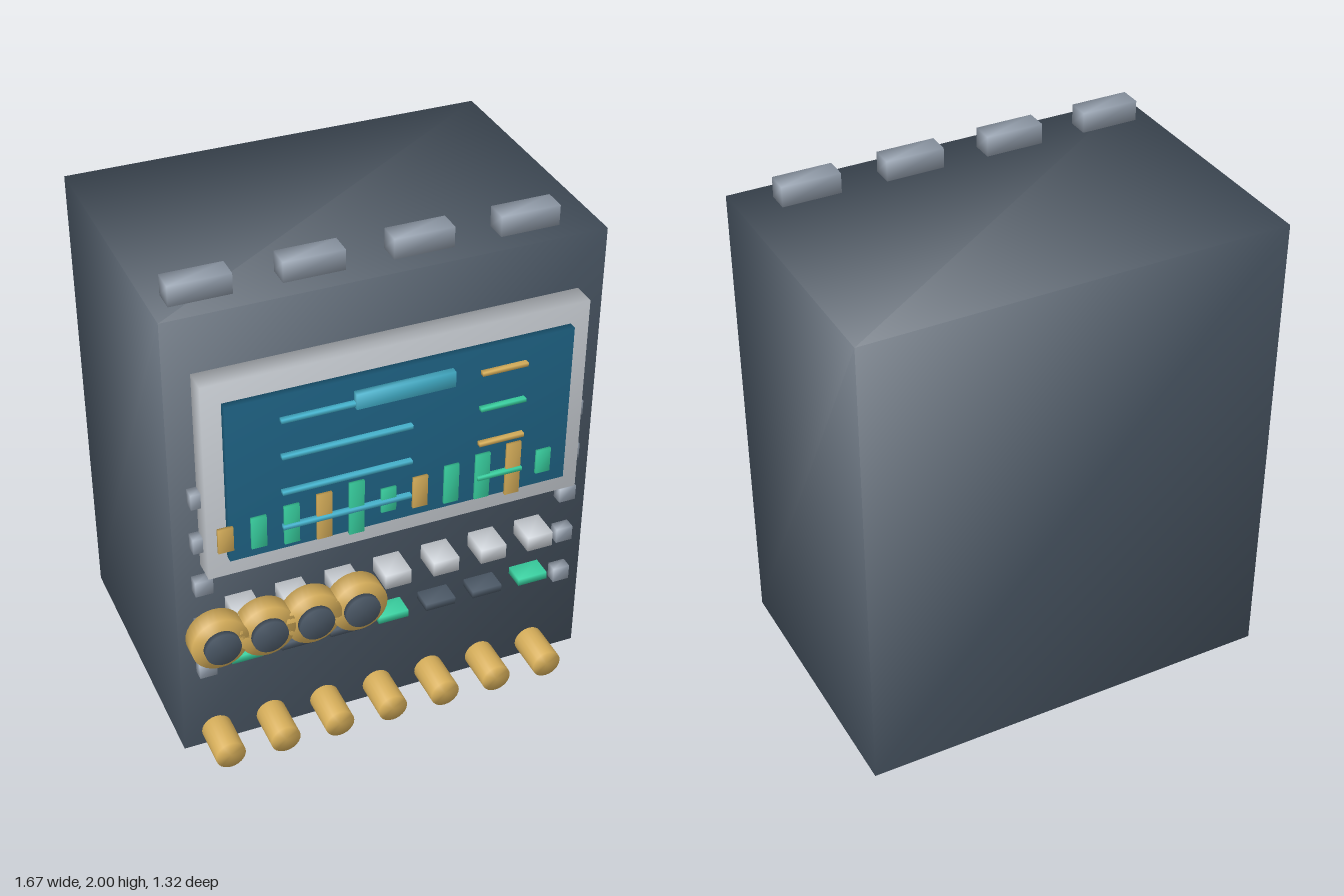
import * as THREE from 'three';
import { mergeVertices } from 'three/addons/utils/BufferGeometryUtils.js';

const paint = (name, hex) => {
  const m = new THREE.MeshStandardMaterial({ color: hex });
  m.name = name;
  return m;
};

// Weld corners so that shading runs smoothly across the edges
function weld(geometry) {
  geometry.deleteAttribute('uv');
  geometry.deleteAttribute('normal');
  const welded = mergeVertices(geometry);
  welded.computeVertexNormals();
  return welded;
}

export function createModel() {
  const model = new THREE.Group();
  model.name = 'controlConsole';

  const slate = paint('slate', 0x4b5866);
  const steel = paint('steel', 0x929dab);
  const silver = paint('silver', 0xcdd2d8);
  const screenBlue = paint('screenBlue', 0x1f6486);
  const cyan = paint('cyan', 0x45b4cf);
  const green = paint('green', 0x38d0a0);
  const gold = paint('gold', 0xd6ae5a);

  const add = (name, geometry, material, x, y, z) => {
    const mesh = new THREE.Mesh(weld(geometry), material);
    mesh.name = name;
    mesh.position.set(x, y, z);
    model.add(mesh);
  };
  // Box centred on x, y and spanning z0 to z1
  const box = (name, material, x, y, w, h, z0, z1) =>
    add(name, new THREE.BoxGeometry(w, h, z1 - z0), material, x, y, (z0 + z1) / 2);
  // Disc or peg facing the front
  const peg = (name, material, x, y, r, z0, z1, sides) =>
    add(name, new THREE.CylinderGeometry(r, r, z1 - z0, sides).rotateX(Math.PI / 2),
      material, x, y, (z0 + z1) / 2);

  // Cabinet, display frame and screen
  box('cabinet', slate, 0, 0.96, 1.67, 1.92, -0.66, 0.452);
  box('displayFrame', silver, 0, 1.287, 1.468, 0.82, 0.452, 0.545);
  box('screen', screenBlue, 0, 1.289, 1.322, 0.656, 0.54, 0.576);

  // Tabs on the top
  for (let i = 0; i < 4; i++) {
    box('topTab', steel, -0.658 + 0.41 * i, 1.96, 0.23, 0.08, 0.28, 0.367);
  }

  // Screen read-outs: title, text lines and bar chart
  box('screenTitle', cyan, -0.002, 1.535, 0.376, 0.062, 0.576, 0.604);
  for (let i = 0; i < 4; i++) {
    const y = 1.521 - 0.1525 * i;
    box('longLine', cyan, -0.217, y, 0.494, 0.015, 0.576, 0.597);
    box('shortLine', i % 2 ? green : gold, 0.384, y, 0.178, 0.015, 0.576, 0.597);
  }
  for (let i = 0; i < 11; i++) {
    box('chartBar', i % 3 ? green : gold, -0.677 + 0.1243 * i, 1.066,
      0.058, 0.102 + 0.0315 * (i % 5), 0.574, 0.587);
  }

  // Rivets down both sides
  for (const x of [-0.737, 0.735]) {
    for (let i = 0; i < 5; i++) {
      box('rivet', steel, x, 0.407 + 0.197 * i, 0.068, 0.063, 0.452, 0.498);
    }
  }

  // Two rows of keys
  for (let i = 0; i < 7; i++) {
    const x = -0.595 + 0.197 * i;
    box('upperKey', silver, x, 0.668, 0.104, 0.063, 0.452, 0.573);
    box('lowerKey', i % 3 ? slate : green, x, 0.456, 0.122, 0.031, 0.452, 0.536);
  }

  // Dials with dark caps
  for (let i = 0; i < 4; i++) {
    const x = -0.727 + 0.1815 * i;
    peg('dial', gold, x, 0.637, 0.11, 0.556, 0.627, 32);
    peg('dialCap', slate, x, 0.637, 0.069, 0.638, 0.66, 32);
  }

  // Pegs along the bottom
  for (let i = 0; i < 7; i++) {
    peg('bottomPeg', gold, -0.712 + 0.2213 * i, 0.094, 0.059, 0.482, 0.644, 24);
  }

  return model;
}
